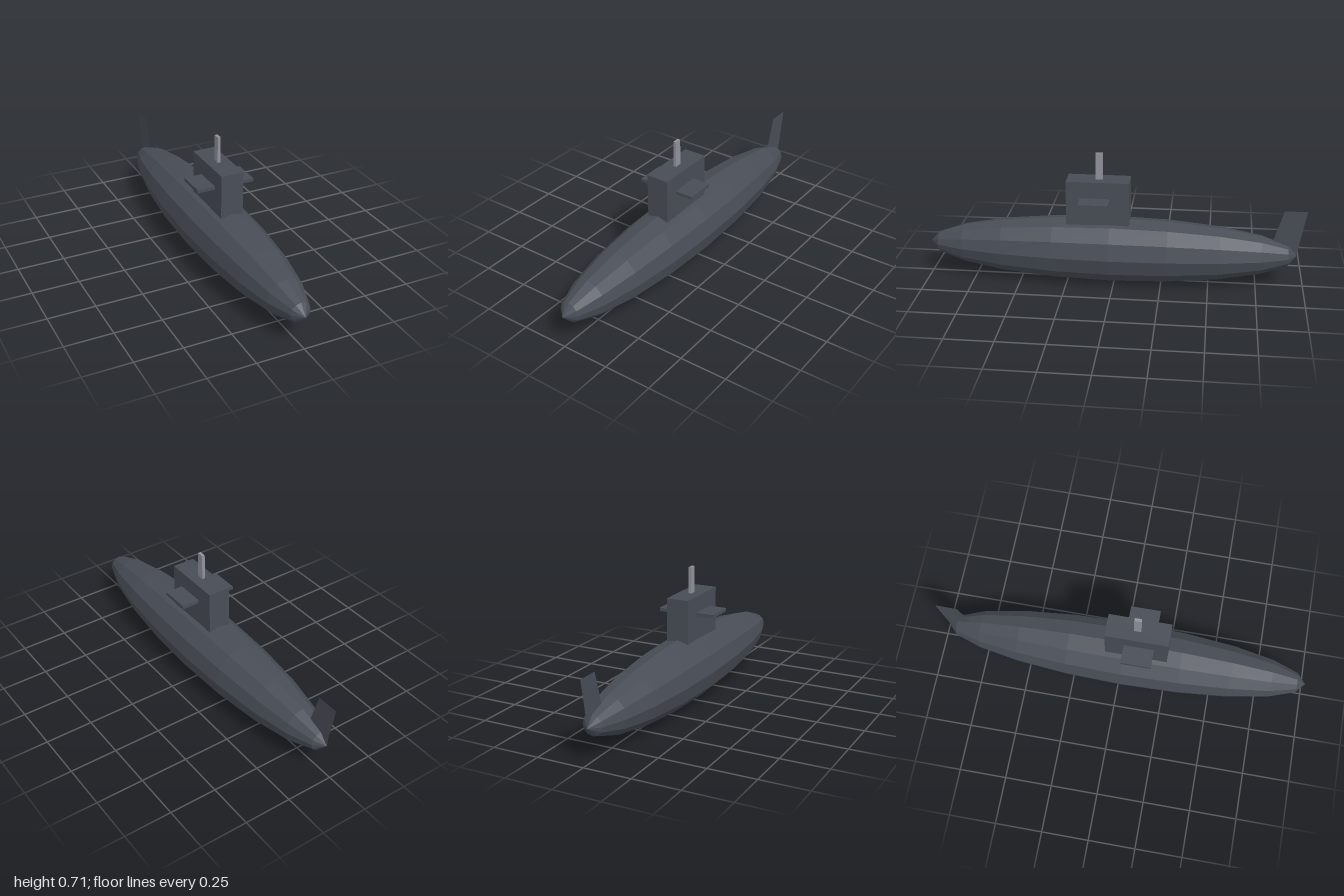
import * as THREE from 'three';

export function createModel() {
  const group = new THREE.Group();
  const hullGrey = new THREE.MeshStandardMaterial({ name: 'hullGrey', color: 0x484d56, flatShading: true });
  const finGrey = new THREE.MeshStandardMaterial({ name: 'finGrey', color: 0x484d56, side: THREE.DoubleSide });
  const mastGrey = new THREE.MeshStandardMaterial({ name: 'mastGrey', color: 0x92929e, flatShading: true });

  const add = (name, geometry, material) => {
    const mesh = new THREE.Mesh(geometry, material);
    mesh.name = name;
    group.add(mesh);
    return mesh;
  };

  // Box given by its lower and upper corners
  const box = (name, [x0, y0, z0], [x1, y1, z1], material) => {
    const mesh = add(name, new THREE.BoxGeometry(x1 - x0, y1 - y0, z1 - z0), material);
    mesh.position.set((x0 + x1) / 2, (y0 + y1) / 2, (z0 + z1) / 2);
  };

  // Twelve-sided stretched hull, poles at bow and stern
  const hull = new THREE.SphereGeometry(1, 12, 10);
  hull.rotateX(Math.PI / 2);
  hull.scale(0.174, 0.174, 0.98);
  hull.translate(0, 0.174, 0.02);
  add('hull', hull, hullGrey);

  // Sail, its diving planes and the periscope
  box('sail', [-0.061, 0.3, -0.08], [0.061, 0.565, 0.25], hullGrey);
  for (const side of [-1, 1]) {
    const xs = [side * 0.061, side * 0.158].sort((a, b) => a - b);
    box(side < 0 ? 'rightDivingPlane' : 'leftDivingPlane', [xs[0], 0.459, 0.02], [xs[1], 0.477, 0.177], hullGrey);
  }
  box('periscope', [-0.008, 0.56, 0.063], [0.008, 0.706, 0.1], mastGrey);

  // Swept sheet rudder in the centre plane; shape x runs aft
  const rudder = new THREE.ShapeGeometry(new THREE.Shape([
    new THREE.Vector2(0.81, 0.18),
    new THREE.Vector2(0.957, 0.18),
    new THREE.Vector2(1.0, 0.424),
    new THREE.Vector2(0.882, 0.424),
  ]));
  rudder.rotateY(Math.PI / 2);
  add('rudder', rudder, finGrey);

  return group;
}
